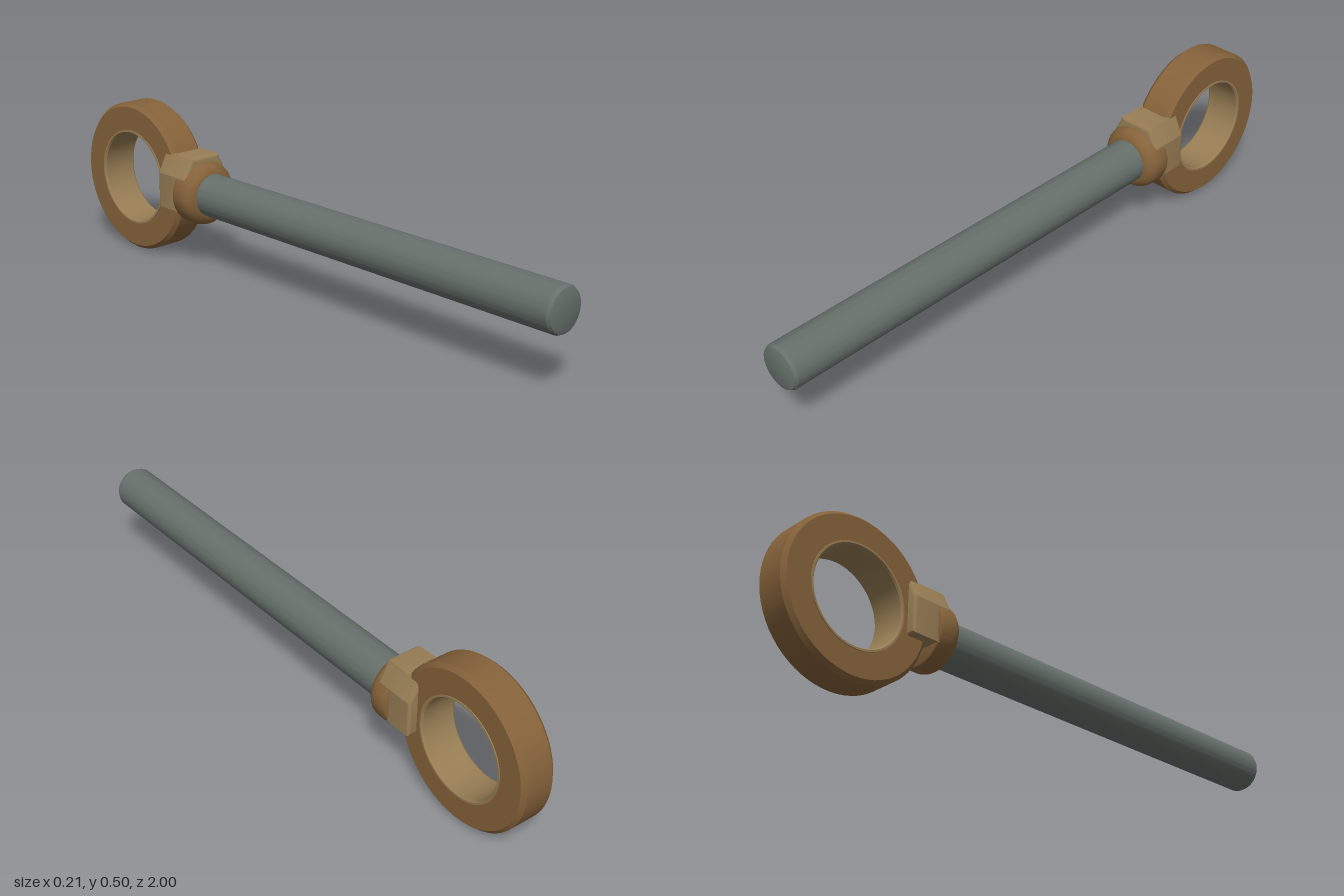
import * as THREE from 'three';
import { toCreasedNormals } from 'three/addons/utils/BufferGeometryUtils.js';

const AXIS_Y = 0.25;
const RING_Z = -0.75;

export function createModel() {
  const model = new THREE.Group();
  model.name = 'eyeBolt';
  const steel = new THREE.MeshStandardMaterial({ color: 0x66706b });
  const bronze = new THREE.MeshStandardMaterial({ color: 0x85623a });
  const paleBronze = new THREE.MeshStandardMaterial({ color: 0x977d54 });

  const add = (name, geometry, material) => {
    const mesh = new THREE.Mesh(toCreasedNormals(geometry, 0.45), material);
    mesh.name = name;
    model.add(mesh);
    return mesh;
  };
  // Profile points are [radius, position along the axis]
  const turned = (points) =>
    new THREE.LatheGeometry(points.map(([r, h]) => new THREE.Vector2(r, h)), 64);
  const alongZ = (points) => turned(points).rotateX(Math.PI / 2).translate(0, AXIS_Y, 0);
  const alongX = (points) => turned(points).rotateZ(Math.PI / 2).translate(0, AXIS_Y, RING_Z);

  // Long rod with a chamfered tip
  add('shaft', alongZ([[0, -0.48], [0.07, -0.48], [0.07, 0.985], [0.065, 0.995], [0.051, 1], [0, 1]]), steel);

  // Rounded collar where the rod enters the head
  add('collar', alongZ([
    [0, -0.49], [0.094, -0.49], [0.101, -0.487], [0.104, -0.48], [0.104, -0.44],
    [0.101, -0.428], [0.094, -0.418], [0.08, -0.407], [0.075, -0.405], [0, -0.405],
  ]), bronze);

  // Faceted neck block joining the collar to the eye
  const bevel = 0.01;
  const outline = new THREE.Shape([
    [-0.078, 0.205], [0.078, 0.205], [0.078, 0.307], [0.05, 0.362], [-0.05, 0.362], [-0.078, 0.307],
  ].map(([x, y]) => new THREE.Vector2(x, y)));
  const neck = new THREE.ExtrudeGeometry(outline, {
    depth: 0.137 - 2 * bevel, bevelSize: bevel, bevelThickness: bevel, bevelSegments: 4,
  });
  add('neckBlock', neck.translate(0, 0, -0.577 + bevel), paleBronze);

  // Thick eye with chamfered outer rims
  add('eyeRing', alongX([
    [0.155, -0.058], [0.238, -0.058], [0.25, -0.045], [0.25, 0.045],
    [0.238, 0.058], [0.155, 0.058], [0.155, -0.058],
  ]), bronze);

  // Thin liner standing slightly proud of the eye
  add('eyeLiner', alongX([
    [0.154, -0.061], [0.16, -0.061], [0.16, 0.061], [0.154, 0.061],
    [0.15, 0.056], [0.15, -0.056], [0.154, -0.061],
  ]), paleBronze);

  return model;
}
